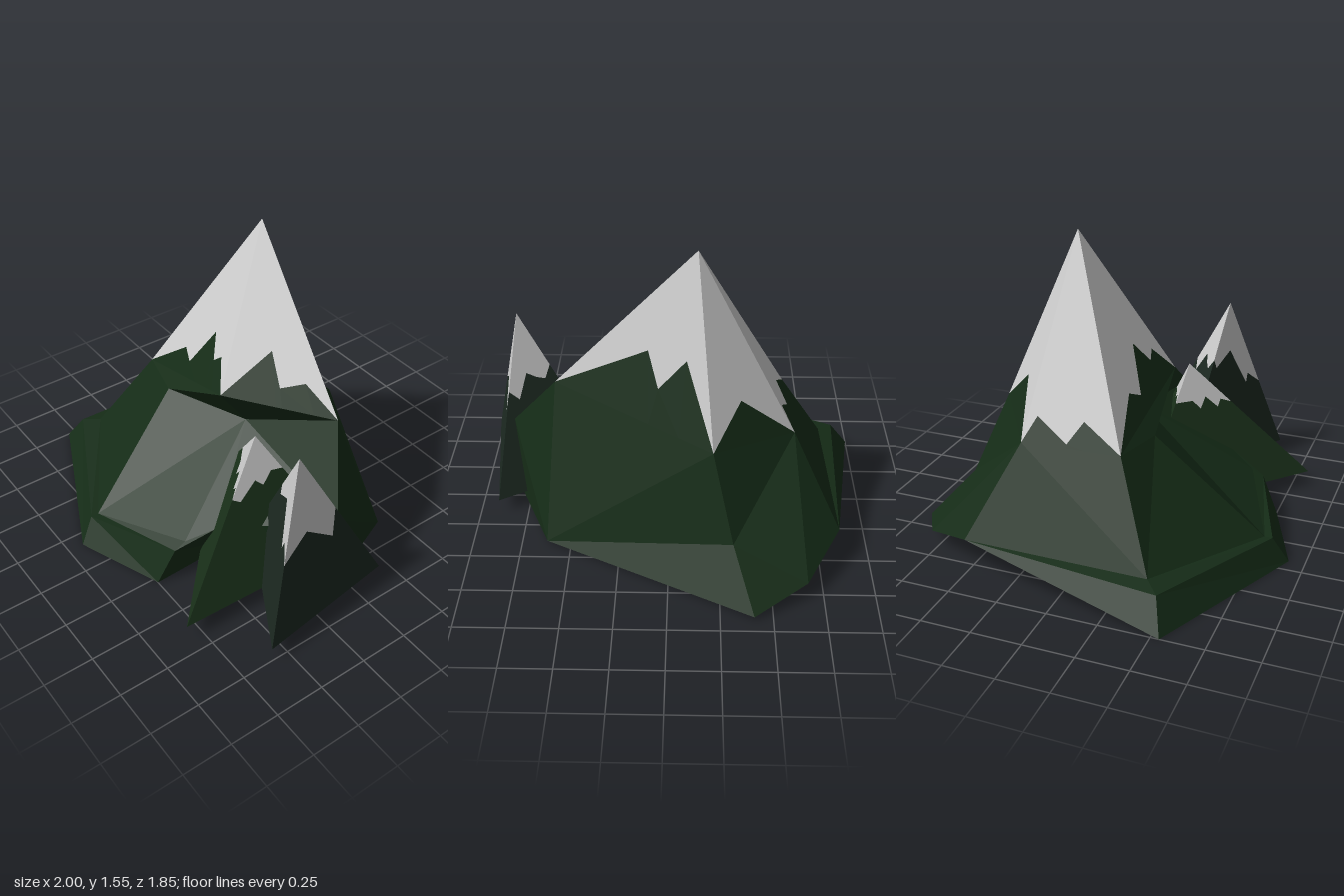
import * as THREE from 'three';

const V = (p) => new THREE.Vector3(...p);
const mat = (color) => new THREE.MeshStandardMaterial({ color, flatShading: true, side: THREE.DoubleSide });

// Flat-shaded mesh from a list of triangles (three Vector3 each)
function facets(name, tris, material) {
  const g = new THREE.BufferGeometry().setFromPoints(tris.flat());
  g.computeVertexNormals();
  const mesh = new THREE.Mesh(g, material);
  mesh.name = name;
  return mesh;
}

// Triangles between two lines of corners, upper and lower, running left to right
function band(upper, lower) {
  const tris = [];
  for (let k = 0; k + 1 < upper.length; k++) {
    tris.push([upper[k], lower[k], lower[k + 1]], [upper[k], lower[k + 1], upper[k + 1]]);
  }
  return tris;
}

// Snow cap and the slope under it. Each side has a jagged snow line given as
// [fraction from left to right ridge, fraction towards the apex].
function peak(apex, snowRing, footRing, jags) {
  const snow = [], slope = [];
  snowRing.forEach((L, i) => {
    const j = (i + 1) % snowRing.length;
    const line = [[0, 0], ...jags[i], [1, 0]];
    const top = line.map(([t, h]) => L.clone().lerp(snowRing[j], t).lerp(apex, h));
    const foot = line.map(([t]) => footRing[i].clone().lerp(footRing[j], t));
    for (let k = 0; k + 1 < top.length; k++) snow.push([apex, top[k], top[k + 1]]);
    slope.push(...band(top, foot));
  });
  return { snow, slope };
}

// Three-sided side peak whose snow reaches a given fraction down each ridge
function sidePeak(name, apexPos, feet, reach, jags, color, snowMat) {
  const apex = V(apexPos), foot = feet.map(V);
  const ring = foot.map((f, i) => apex.clone().lerp(f, reach[i]));
  const { snow, slope } = peak(apex, ring, foot, jags);
  const g = new THREE.Group();
  g.name = name;
  g.add(facets(name + 'Snow', snow, snowMat), facets(name + 'Slope', slope, mat(color)));
  return g;
}

export function createModel() {
  const model = new THREE.Group();
  model.name = 'mountains';
  const snowMat = mat(0xcccccc), green = mat(0x152c17);

  // Ends of the main snow ridges: front left, front, right, back, back left
  const ring = [[-0.58, 0.63, 0.2], [0.1, 0.82, 0.23], [0.57, 0.8, -0.12],
    [-0.21, 0.68, -0.55], [-0.61, 0.63, -0.29]].map(V);
  const [frontLeft, front, right, back, backLeft] = ring;

  // Corners of the hollow under the front ridge
  const hollowLeft = V([-0.31, 0.63, 0.27]), hollowRight = V([0.09, 0.59, 0.07]);

  // Ledge: inner and outer edge, and the foot below it, left to right
  const inner = [[-0.82, 0.17, 0.42], [-0.2, 0.13, 0.8], [0.31, 0.22, 0.6], [0.38, 0.28, 0.47]].map(V);
  const outer = [[-0.9, 0.15, 0.49], [-0.2, 0.13, 0.84], [0.31, 0.19, 0.66], [0.38, 0.28, 0.47]].map(V);
  const foot = [[-1, 0, 0.54], [-0.17, 0, 0.92], [0.28, 0, 0.75], [0.28, 0.02, 0.27]].map(V);

  // Right shoulder, foot at the right and back, and the bends of the back ridges
  const shoulder = V([0.82, 0.45, 0.07]), footRight = V([0.82, 0.02, 0.07]);
  const footBackRight = V([0.62, 0.02, -0.4]), footBack = V([-0.41, 0.02, -0.93]);
  const bend = V([-0.31, 0.27, -0.71]);
  const lowBack = V([-0.67, 0.09, -0.77]), lowLeft = V([-0.84, 0.19, -0.49]);

  // Main peak: snow cap and the jagged green rim below it
  const main = peak(V([-0.13, 1.55, -0.19]), ring, ring, [
    [[0.32, 0.165], [0.47, 0.095], [0.66, 0.32], [0.785, 0.165], [0.88, 0.2]],
    [[0.48, 0.3], [0.53, 0.107], [0.8, 0.16]],
    [[0.41, 0.39], [0.6, 0.21], [0.79, 0.42]],
    [[0.48, 0.23]],
    [[0.11, 0.13], [0.46, 0.02], [0.65, 0.13]],
  ]);
  model.add(facets('mainSnowCap', main.snow, snowMat));
  model.add(facets('mainRim', main.slope, green));

  // Hollow below the front ridge
  model.add(facets('frontHollow', [
    [frontLeft, hollowLeft, front],
    [hollowLeft, hollowRight, front],
    [hollowRight, right, front],
  ], green));

  // Front slope down to the ledge
  model.add(facets('frontSlope', [
    [frontLeft, inner[0], hollowLeft],
    [hollowLeft, inner[0], inner[1]],
    [hollowLeft, inner[1], hollowRight],
    [hollowRight, inner[1], inner[2]],
    [hollowRight, inner[2], inner[3]],
  ], green));

  // Ledge and the wall from its edge to the ground
  model.add(facets('ledge', [
    ...band(inner.slice(0, 3), outer),
    [inner[2], outer[2], inner[3]],
  ], green));
  model.add(facets('ledgeWall', band(outer, foot), green));

  // Right side with its shoulder
  model.add(facets('rightSlope', [
    [hollowRight, inner[3], shoulder],
    [hollowRight, shoulder, right],
    ...band([inner[3], shoulder], [foot[3], footRight]),
    [shoulder, footRight, footBackRight],
    [right, shoulder, footBackRight],
  ], green));

  // Back
  model.add(facets('backSlope', [
    [right, footBackRight, back],
    [back, footBackRight, bend],
    [bend, footBackRight, footBack],
    [bend, footBack, lowBack],
    [back, bend, backLeft],
    [backLeft, bend, lowBack],
    [backLeft, lowBack, lowLeft],
  ], green));

  // Left side
  model.add(facets('leftSlope', [
    [backLeft, lowLeft, inner[0]],
    [backLeft, inner[0], frontLeft],
    [lowLeft, foot[0], outer[0]],
    [lowLeft, outer[0], inner[0]],
  ], green));

  // Small front peak
  model.add(sidePeak('smallPeak', [0.37, 0.74, 0.22],
    [[-0.14, 0.08, 0.12], [0.66, 0.08, 0.83], [0.69, 0.08, -0.13]], [0.27, 0.34, 0.28],
    [
      [[0.3, 0.05], [0.42, -0.15], [0.58, 0.15], [0.7, -0.12], [0.85, 0.08]],
      [[0.2, -0.15], [0.45, 0.1], [0.6, -0.1], [0.8, 0.1]],
      [[0.3, 0.05], [0.5, -0.05], [0.7, 0.1]],
    ], 0x1a311a, snowMat));

  // Tall side peak
  model.add(sidePeak('tallPeak', [0.81, 0.95, 0.31],
    [[0.32, 0.08, 0.2], [1, 0.08, 0.59], [0.9, 0.08, -0.15]], [0.33, 0.55, 0.42],
    [
      [[0.08, -0.1], [0.35, 0.27], [0.67, -0.12], [0.76, 0.04]],
      [[0.45, 0.1], [0.8, -0.3]],
      [[0.25, -0.2], [0.45, 0.1], [0.65, -0.05], [0.8, -0.15]],
    ], 0x1c2921, snowMat));

  return model;
}
